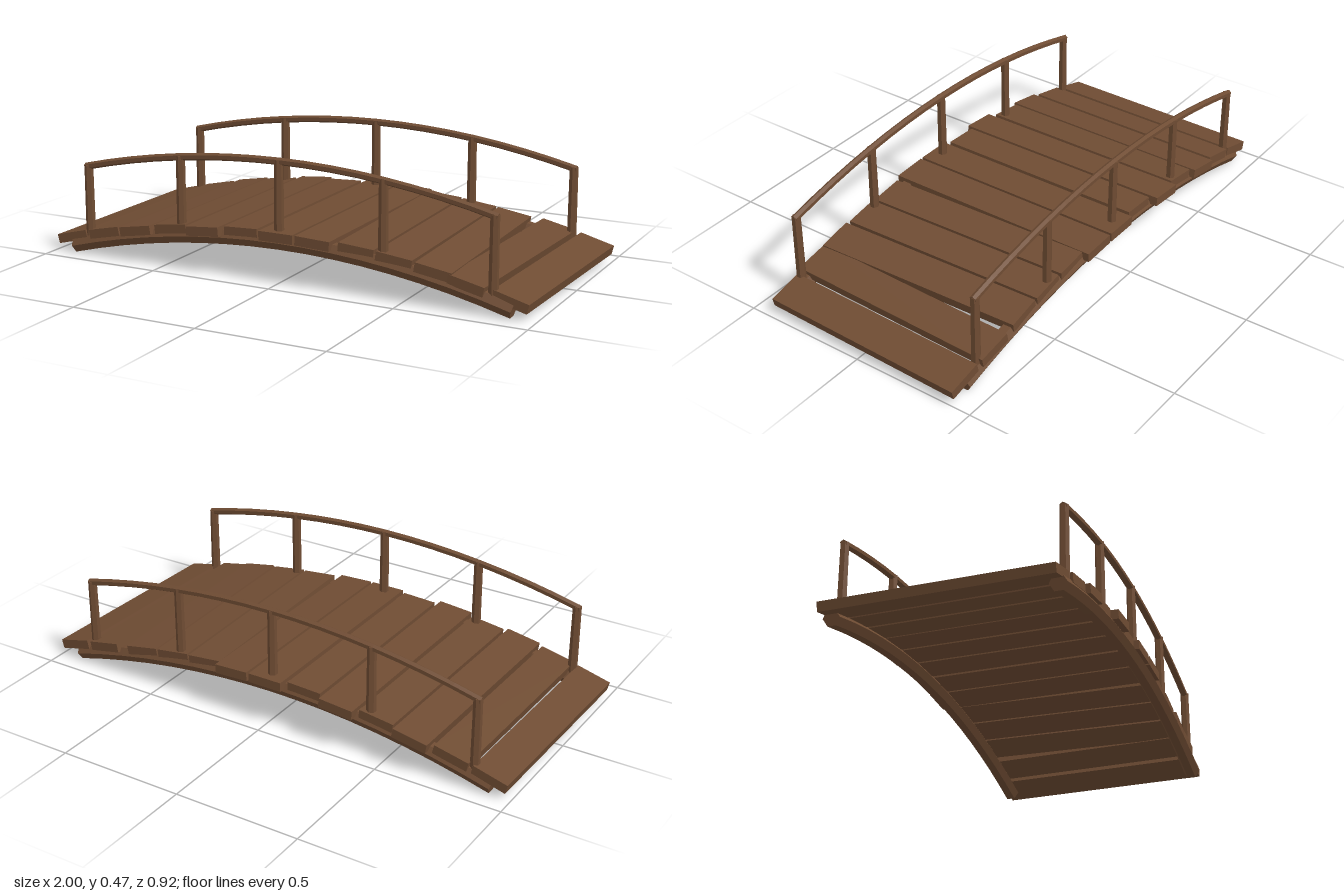
import * as THREE from 'three';

const arch = (top, drop) => ({ y: x => top - drop * x * x, slope: x => -2 * drop * x });

// Straight hexagonal bar along x, bent so that its centre follows the arch
function archedBar(radius, x0, x1, curve, pointUp) {
  const geo = new THREE.CylinderGeometry(radius, radius, x1 - x0, 6, 16);
  if (pointUp) geo.rotateY(Math.PI / 6);
  geo.rotateZ(Math.PI / 2);
  geo.translate((x0 + x1) / 2, 0, 0);
  const p = geo.attributes.position;
  for (let i = 0; i < p.count; i++) {
    const x = p.getX(i), h = p.getY(i);
    const a = Math.atan(curve.slope(x));
    p.setX(i, x - Math.sin(a) * h);
    p.setY(i, curve.y(x) + Math.cos(a) * h);
  }
  geo.computeVertexNormals();
  return geo;
}

export function createModel() {
  const group = new THREE.Group();
  const wood = new THREE.MeshStandardMaterial({ color: 0x6f4c33, flatShading: true });
  wood.name = 'brownWood';
  const add = (name, geo) => {
    const mesh = new THREE.Mesh(geo, wood);
    mesh.name = name;
    group.add(mesh);
    return mesh;
  };

  const deck = arch(0.2, 0.14);
  const beam = arch(0.158, 0.152);
  const rail = arch(0.458, 0.147);

  // Deck planks: [centre x, length, yaw, z offset]
  const thick = 0.036;
  [
    [-0.925, 0.85, -0.012, -0.003], [-0.77, 0.86, -0.008, 0], [-0.615, 0.895, -0.008, -0.003],
    [-0.465, 0.86, -0.005, 0], [-0.31, 0.915, 0, -0.002], [-0.157, 0.86, 0, 0],
    [0, 0.9, 0, -0.003], [0.151, 0.9, 0, -0.003], [0.305, 0.855, 0.03, 0],
    [0.455, 0.855, 0.03, 0], [0.605, 0.86, 0.035, 0], [0.76, 0.87, -0.033, -0.003],
    [0.92, 0.85, -0.03, -0.003],
  ].forEach(([x, length, yaw, z], i) => {
    const tilt = Math.atan(deck.slope(x));
    const plank = add(`plank${i + 1}`, new THREE.BoxGeometry(0.14, thick, length));
    plank.position.set(x + Math.sin(tilt) * thick / 2, deck.y(x) - Math.cos(tilt) * thick / 2, z);
    plank.rotation.set(0, yaw, tilt);
  });

  // Support beams, railings and posts on both sides
  for (const [side, z] of [['front', 0.404], ['back', -0.404]]) {
    add(`${side}Beam`, archedBar(0.032, -0.92, 0.912, beam, false)).position.z = z;
    add(`${side}Handrail`, archedBar(0.014, -0.86, 0.847, rail, true)).position.z = z;
    for (let i = 0; i < 5; i++) {
      const x = -0.848 + i * 0.421;
      const bottom = beam.y(x) + 0.01, top = rail.y(x) + 0.005;
      const post = add(`${side}Post${i + 1}`, new THREE.CylinderGeometry(0.017, 0.0185, top - bottom, 6));
      post.position.set(x, (top + bottom) / 2, z);
    }
  }
  return group;
}
